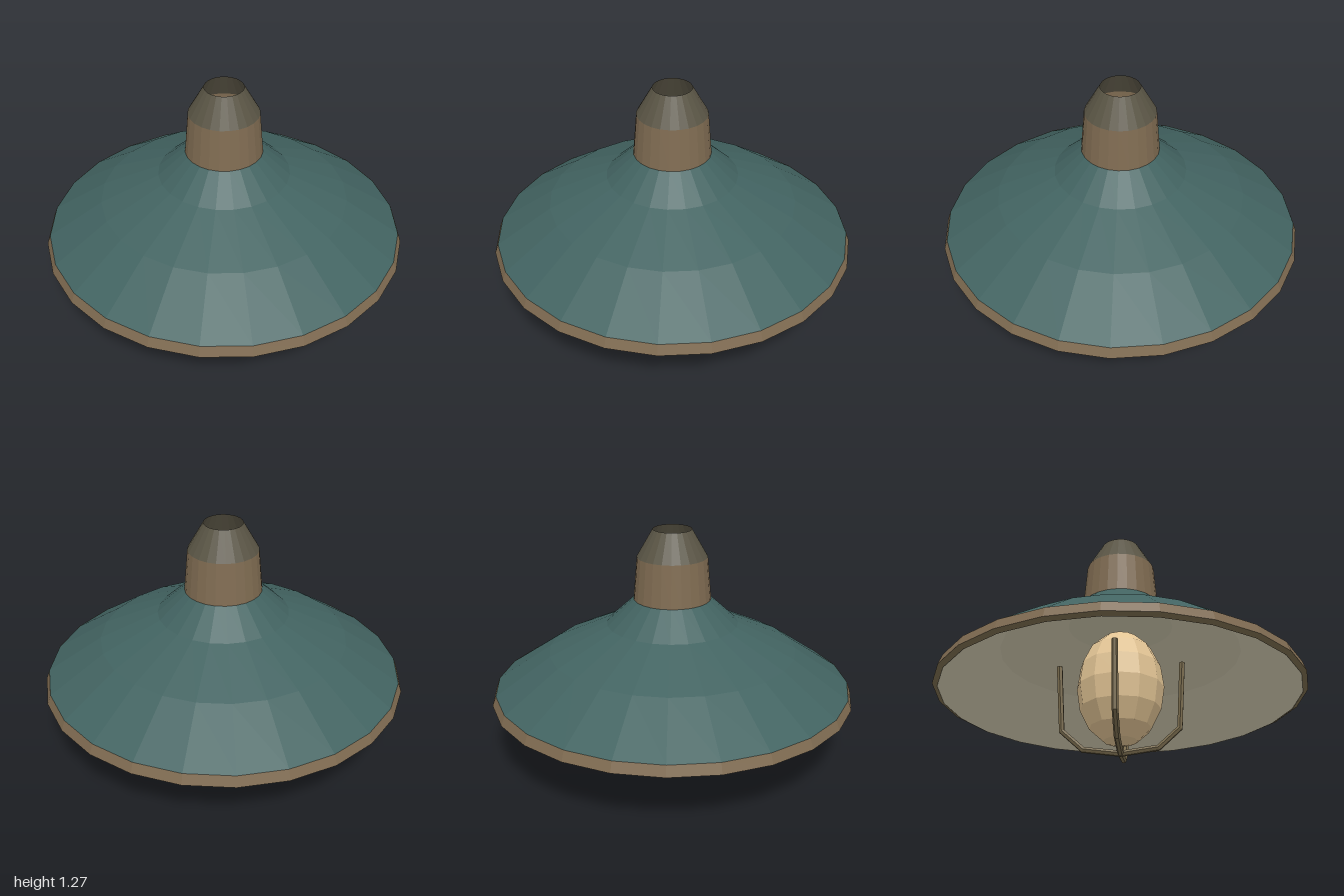
import * as THREE from 'three';

const flat = (name, color, side = THREE.FrontSide) => {
  const m = new THREE.MeshStandardMaterial({ color, side, flatShading: true });
  m.name = name;
  return m;
};

// Path that visits each given point exactly, so the bends stay sharp
class BentWire extends THREE.Curve {
  constructor(points) {
    super();
    this.points = points;
  }
  index(u) {
    return Math.round(u * (this.points.length - 1));
  }
  getPoint(u, target = new THREE.Vector3()) {
    return target.copy(this.points[this.index(u)]);
  }
  getPointAt(u, target) {
    return this.getPoint(u, target);
  }
  getTangentAt(u, target = new THREE.Vector3()) {
    const p = this.points, i = this.index(u);
    const into = p[Math.max(i, 1)].clone().sub(p[Math.max(i, 1) - 1]).normalize();
    const j = Math.min(i, p.length - 2);
    const out = p[j + 1].clone().sub(p[j]).normalize();
    return target.copy(into).add(out).normalize();
  }
}

export function createModel() {
  const teal = flat('teal enamel', 0x426361);
  const brass = flat('aged brass', 0x806c52, THREE.DoubleSide);
  const bronze = flat('olive bronze', 0x7a6c4e, THREE.DoubleSide);
  const cap = flat('dark cap metal', 0x5a5545, THREE.DoubleSide);
  const lining = flat('pale lining', 0xcdc6ac);
  const glass = flat('warm glass', 0xe3c595);

  const lamp = new THREE.Group();
  lamp.name = 'pendantLamp';

  const add = (name, geometry, material) => {
    const mesh = new THREE.Mesh(geometry, material);
    mesh.name = name;
    lamp.add(mesh);
    return mesh;
  };
  // Profiles run upwards for outward faces, downwards for inward faces
  const turn = (name, profile, material) =>
    add(name, new THREE.LatheGeometry(profile.map(([r, y]) => new THREE.Vector2(r, y)), 24), material);

  // Shade with its closed lining, rim band and bevelled lip
  turn('shade', [[0.98, 0.398], [0.68, 0.6], [0.36, 0.75], [0.208, 0.89]], teal);
  turn('shadeLining', [[0, 0.755], [0.29, 0.75], [0.66, 0.58], [0.972, 0.332]], lining);
  turn('rimBand', [[1, 0.345], [0.98, 0.4]], brass);
  turn('rimLip', [[0.972, 0.331], [1, 0.345]], bronze);

  // Neck and open tapered cap
  turn('neck', [[0.211, 0.885], [0.191, 1.12]], brass);
  turn('neckCap', [[0.191, 1.12], [0.105, 1.27]], cap);

  // Bulb
  const bulb = add('bulb', new THREE.SphereGeometry(1, 12, 8), glass);
  bulb.scale.set(0.238, 0.325, 0.238);
  bulb.position.y = 0.385;

  // Two crossed wire hoops guarding the bulb
  const half = [[0.337, 0.525], [0.315, 0.15], [0.2, 0.044], [0, 0.017]];
  const hoop = [...half, ...half.slice(0, -1).reverse().map(([x, y]) => [-x, y])];
  const path = new BentWire(hoop.map(([x, y]) => new THREE.Vector3(x, y, 0)));
  const wire = new THREE.TubeGeometry(path, hoop.length - 1, 0.017, 6, false);
  for (let i = 0; i < 2; i++) {
    add(i ? 'guardHoopDepth' : 'guardHoopWidth', wire, bronze).rotation.y = (i * Math.PI) / 2;
  }

  return lamp;
}
